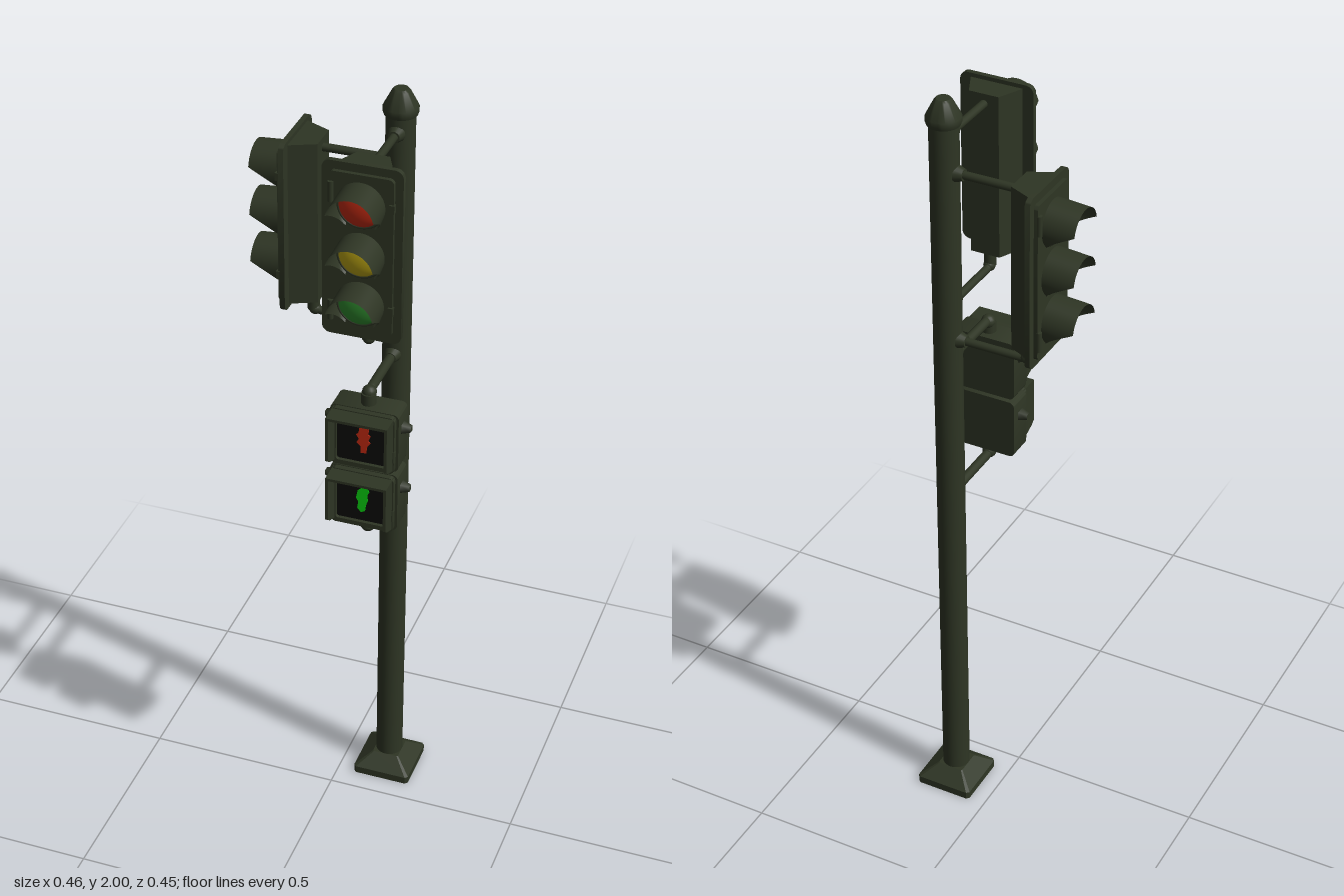
import * as THREE from 'three';
import { toCreasedNormals } from 'three/addons/utils/BufferGeometryUtils.js';

const mat = (name, color, side = THREE.FrontSide) => {
  const m = new THREE.MeshStandardMaterial({ color, side });
  m.name = name;
  return m;
};

export function createModel() {
  const paint = mat('dark green paint', 0x2e3524, THREE.DoubleSide);
  const black = mat('black screen', 0x0a0a09);
  const red = mat('red lens', 0xc02a12);
  const yellow = mat('yellow lens', 0xb8a214);
  const green = mat('green lens', 0x2f8a2e);
  const glowRed = mat('red symbol', 0xc22a12);
  const glowGreen = mat('green symbol', 0x08d010);

  const add = (parent, name, geo, material, x = 0, y = 0, z = 0) => {
    const mesh = new THREE.Mesh(geo, material);
    mesh.name = name;
    mesh.position.set(x, y, z);
    parent.add(mesh);
    return mesh;
  };
  const group = (parent, name, x = 0, y = 0, z = 0) => {
    const g = new THREE.Group();
    g.name = name;
    g.position.set(x, y, z);
    parent.add(g);
    return g;
  };
  const polygon = pts => new THREE.Shape(pts.map(p => new THREE.Vector2(...p)));
  const extrude = (shape, depth) => toCreasedNormals(
    new THREE.ExtrudeGeometry(shape, { depth, bevelEnabled: false, curveSegments: 6 }), 0.6);

  // Rounded rectangle centred on the origin
  const roundedRect = (w, h, r) => {
    const s = new THREE.Shape(), a = w / 2 - r, b = h / 2 - r;
    s.absarc(a, b, r, 0, Math.PI / 2);
    s.absarc(-a, b, r, Math.PI / 2, Math.PI);
    s.absarc(-a, -b, r, Math.PI, Math.PI * 1.5);
    s.absarc(a, -b, r, Math.PI * 1.5, Math.PI * 2);
    return s;
  };

  // Bracket pipe leaving the pole along +z, optionally bending by "rise" at its end
  const bracket = (parent, y, length, rise, r) => {
    const path = new THREE.CurvePath();
    const v = (py, pz) => new THREE.Vector3(0, py, pz);
    if (rise) {
      const b = Math.min(0.022, Math.abs(rise)), s = Math.sign(rise);
      path.add(new THREE.LineCurve3(v(y, 0.02), v(y, length - b)));
      path.add(new THREE.QuadraticBezierCurve3(v(y, length - b), v(y, length), v(y + s * b, length)));
      path.add(new THREE.LineCurve3(v(y + s * b, length), v(y + rise + s * 0.01, length)));
      add(parent, 'bracketElbow', new THREE.SphereGeometry(r * 1.5, 14, 10), paint, 0, y + s * 0.004, length - 0.004);
      add(parent, 'bracketSocket', new THREE.CylinderGeometry(r * 1.5, r * 1.5, Math.abs(rise), 16),
        paint, 0, y + rise / 2 + s * 0.004, length);
    } else {
      path.add(new THREE.LineCurve3(v(y, 0.02), v(y, length)));
    }
    add(parent, 'bracketPipe', new THREE.TubeGeometry(path, 40, r, 14), paint);
    add(parent, 'bracketFlange', new THREE.CylinderGeometry(0.014, 0.021, 0.02, 16).rotateX(Math.PI / 2), paint, 0, y, 0.04);
  };

  // Cut-away hood: a cylinder wall whose length shrinks towards the underside
  const visorGeometry = () => {
    const geo = new THREE.PlaneGeometry(1, 1, 48, 6), p = geo.attributes.position, R = 0.057;
    for (let i = 0; i < p.count; i++) {
      const a = p.getX(i) * Math.PI * 1.6, v = p.getY(i) + 0.5, c = Math.cos(a);
      const t = THREE.MathUtils.clamp((c + 0.7) / 0.9, 0, 1);
      p.setXYZ(i, Math.sin(a) * R, c * R - 0.006 * v, v * (0.006 + 0.074 * Math.pow(t, 1.5)));
    }
    geo.computeVertexNormals();
    return geo;
  };

  // Three-lamp signal, placed out along +z from the pole axis
  const trafficSignal = (parent, name, y, turn) => {
    const g = group(parent, name, 0, y, 0);
    g.rotation.y = turn;
    const profile = polygon([[-0.038, 0.187], [0.038, 0.187], [0.068, 0.252], [-0.068, 0.252]]);
    add(g, 'housing', extrude(profile, 0.42).rotateX(Math.PI / 2), paint, 0, 0.21, 0);
    add(g, 'backPlate', extrude(roundedRect(0.19, 0.44, 0.02), 0.013), paint, 0, 0, 0.25);
    add(g, 'door', extrude(roundedRect(0.152, 0.4, 0.012), 0.01), paint, 0, 0, 0.263);
    for (const hy of [-0.15, 0.15])
      add(g, 'hinge', new THREE.CylinderGeometry(0.007, 0.007, 0.05, 12), paint, -0.07, hy, 0.274);
    for (const hy of [-0.13, 0.13])
      add(g, 'latch', new THREE.BoxGeometry(0.012, 0.02, 0.012), paint, 0.073, hy, 0.272);
    [red, yellow, green].forEach((m, i) => {
      const ly = 0.125 * (1 - i);
      add(g, 'lensRing', new THREE.TorusGeometry(0.053, 0.004, 8, 40), paint, 0, ly, 0.273);
      const lens = new THREE.SphereGeometry(0.052, 32, 12, 0, Math.PI * 2, 0, Math.PI / 2).rotateX(Math.PI / 2);
      add(g, 'lens', lens.scale(1, 1, 0.4), m, 0, ly, 0.272);
      add(g, 'visor', visorGeometry(), paint, 0, ly, 0.272);
    });
    bracket(g, 0.185, 0.2, 0, 0.01);
    bracket(g, -0.255, 0.212, 0.045, 0.01);
  };

  // Symbols for the crossing lights
  const hand = polygon([[-0.006, -0.04], [0.008, -0.038], [0.009, -0.022], [0.018, -0.008], [0.012, -0.004],
    [0.018, 0.012], [0.012, 0.014], [0.014, 0.03], [0.004, 0.038], [-0.004, 0.034], [-0.01, 0.03],
    [-0.012, 0.016], [-0.018, 0.01], [-0.011, 0], [-0.017, -0.012], [-0.006, -0.022]]);
  const walker = polygon([[-0.004, -0.042], [0.006, -0.036], [0.008, -0.02], [0.013, -0.006], [0.011, 0.01],
    [0.016, 0.02], [0.012, 0.03], [0.008, 0.04], [-0.001, 0.038], [-0.004, 0.028], [-0.013, 0.02],
    [-0.017, -0.002], [-0.011, -0.012], [-0.014, -0.03]]);

  // Square crossing light with a three-sided hood
  const crossingLight = (parent, y, symbol, material) => {
    const g = group(parent, 'crossingLight', 0, y, 0);
    add(g, 'body', extrude(roundedRect(0.17, 0.16, 0.014), 0.065), paint, 0, 0, 0.17);
    add(g, 'bezel', extrude((() => {
      const s = roundedRect(0.158, 0.156, 0.012);
      s.holes.push(roundedRect(0.132, 0.132, 0.006));
      return s;
    })(), 0.014), paint, 0, 0, 0.235);
    add(g, 'screen', new THREE.BoxGeometry(0.134, 0.134, 0.006), black, 0, 0, 0.237);
    add(g, 'symbol', extrude(symbol, 0.002), material, 0, 0, 0.24);
    add(g, 'hoodTop', new THREE.BoxGeometry(0.152, 0.007, 0.06), paint, 0, 0.072, 0.265);
    const cheek = polygon([[0.235, -0.07], [0.25, -0.068], [0.282, -0.055], [0.295, -0.045], [0.295, 0.0755], [0.235, 0.0755]]);
    for (const s of [-1, 1]) {
      add(g, 'hoodSide', extrude(cheek, 0.007).rotateY(-Math.PI / 2), paint, s * 0.0725 + 0.0035, 0, 0);
      const ear = new THREE.CylinderGeometry(0.009, 0.017, 0.024, 4).rotateY(Math.PI / 4).rotateZ(-s * Math.PI / 2);
      add(g, 'ear', ear.toNonIndexed(), paint, s * 0.095, 0.03, 0.204);
      add(g, 'hingePin', new THREE.CylinderGeometry(0.006, 0.006, 0.03, 10), paint, s * 0.076, -0.03, 0.246);
    }
  };

  const model = new THREE.Group();
  model.name = 'trafficLightPost';
  const post = group(model, 'post', 0.12, 0, -0.13);

  // Base plate with a bolt hole and a sloped, chamfered foot
  const chamferedSquare = () => {
    const a = 0.076, c = 0.069;
    return polygon([[a, -c], [a, c], [c, a], [-c, a], [-a, c], [-a, -c], [-c, -a], [c, -a]]);
  };
  const plate = chamferedSquare();
  plate.holes.push(new THREE.Path().absarc(0, 0, 0.026, 0, Math.PI * 2, true));
  add(post, 'basePlate', extrude(plate, 0.02).rotateX(-Math.PI / 2), paint);
  const foot = new THREE.ExtrudeGeometry(chamferedSquare(), { depth: 0.032, bevelEnabled: false });
  const fp = foot.attributes.position;
  for (let i = 0; i < fp.count; i++)
    if (fp.getZ(i) > 0.01) fp.setXY(i, fp.getX(i) * 0.46, fp.getY(i) * 0.46);
  foot.computeVertexNormals();
  add(post, 'baseFoot', foot.rotateX(-Math.PI / 2), paint, 0, 0.02, 0);

  // Pole and cap
  add(post, 'pole', new THREE.CylinderGeometry(0.035, 0.035, 1.93, 32), paint, 0, 0.985, 0);
  const capProfile = [[0.03, 1.935], [0.039, 1.937], [0.042, 1.945], [0.042, 1.956], [0.022, 1.994], [0.017, 2], [0, 2]];
  add(post, 'poleCap', toCreasedNormals(
    new THREE.LatheGeometry(capProfile.map(p => new THREE.Vector2(...p)), 32), 0.6), paint);

  // Vehicle signals facing front and right
  trafficSignal(post, 'frontSignal', 1.715, 0);
  trafficSignal(post, 'sideSignal', 1.635, -Math.PI / 2);

  // Crossing lights, joined to each other and held between two brackets
  const crossing = group(post, 'crossingSignals');
  crossingLight(crossing, 1.203, hand, glowRed);
  crossingLight(crossing, 1.033, walker, glowGreen);
  add(crossing, 'coupling', new THREE.CylinderGeometry(0.02, 0.02, 0.03, 16), paint, 0, 1.118, 0.204);
  bracket(crossing, 1.315, 0.204, -0.035, 0.012);
  bracket(crossing, 0.925, 0.204, 0.03, 0.012);

  return model;
}
